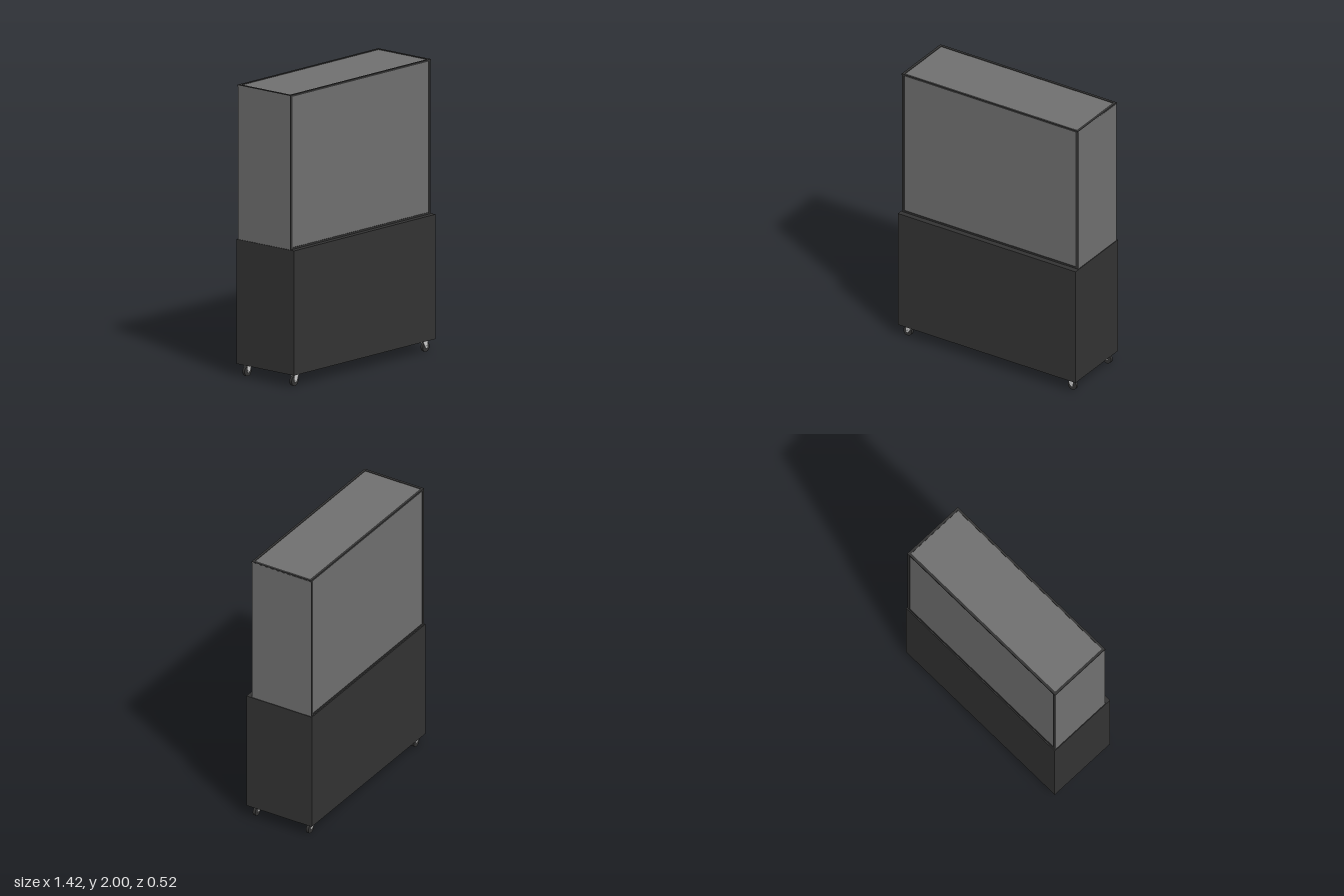
import * as THREE from 'three';

const dark = new THREE.MeshStandardMaterial({ color: 0x333333 });
const glass = new THREE.MeshStandardMaterial({ color: 0x707070 });
const metal = new THREE.MeshStandardMaterial({ color: 0xcccccc });

function add(parent, name, geometry, material, x = 0, y = 0, z = 0) {
  const mesh = new THREE.Mesh(geometry, material);
  mesh.name = name;
  mesh.position.set(x, y, z);
  parent.add(mesh);
  return mesh;
}

// Rectangular frame, w by h, with unequal borders, extruded by depth and centred
function frameGeometry(w, h, side, bottom, top, depth) {
  const shape = new THREE.Shape();
  shape.moveTo(-w / 2, -h / 2).lineTo(w / 2, -h / 2).lineTo(w / 2, h / 2).lineTo(-w / 2, h / 2).closePath();
  const hole = new THREE.Path();
  const x = w / 2 - side, y0 = -h / 2 + bottom, y1 = h / 2 - top;
  hole.moveTo(-x, y0).lineTo(-x, y1).lineTo(x, y1).lineTo(x, y0).closePath();
  shape.holes.push(hole);
  return new THREE.ExtrudeGeometry(shape, { depth, bevelEnabled: false }).translate(0, 0, -depth / 2);
}

// Swivel caster: wheel turning about z, offset outward from its fork
function caster() {
  const group = new THREE.Group();
  group.name = 'caster';
  const wheel = new THREE.CylinderGeometry(0.034, 0.034, 0.02, 24).rotateX(Math.PI / 2);
  add(group, 'wheel', wheel, dark, 0.008, 0.034, 0);
  const hub = new THREE.CylinderGeometry(0.008, 0.008, 0.03, 12).rotateX(Math.PI / 2);
  add(group, 'axle', hub, metal, 0.008, 0.034, 0);
  add(group, 'mountPlate', new THREE.BoxGeometry(0.05, 0.012, 0.034), metal, -0.005, 0.08, 0);
  const cheek = new THREE.Shape();
  cheek.moveTo(-0.03, 0.078).lineTo(-0.002, 0.03).lineTo(0.014, 0.03).lineTo(0.02, 0.078).closePath();
  const cheekGeometry = new THREE.ExtrudeGeometry(cheek, { depth: 0.003, bevelEnabled: false });
  for (const z of [-0.0145, 0.0115]) add(group, 'forkCheek', cheekGeometry, metal, 0, 0, z);
  return group;
}

export function createModel() {
  const model = new THREE.Group();
  model.name = 'displayCase';

  // Plinth cabinet
  const bottom = 0.085, deck = 0.94;
  add(model, 'baseCabinet', new THREE.BoxGeometry(1.42, deck - bottom, 0.516), dark, 0, (deck + bottom) / 2, 0);

  // Glazed upper case, set back from the front edge of the plinth
  const w = 1.41, h = 2 - deck, d = 0.47, zMid = -0.015, yMid = deck + h / 2;
  const upper = new THREE.Group();
  upper.name = 'glassCase';
  model.add(upper);

  for (const s of [-1, 1]) {
    const face = s > 0 ? 'front' : 'back';
    const zFace = zMid + s * (d / 2 - 0.008);
    add(upper, face + 'Frame', frameGeometry(w - 0.004, h, 0.018, 0.012, 0.013, 0.016), dark, 0, yMid, zFace);
    add(upper, face + 'Glass', new THREE.BoxGeometry(w - 0.03, h - 0.02, 0.008), glass, 0, yMid, zFace);
    // Side panes run edge to edge
    add(upper, s > 0 ? 'leftGlass' : 'rightGlass',
      new THREE.BoxGeometry(0.008, h - 0.004, d - 0.006), glass, s * (w / 2 - 0.004), yMid - 0.002, zMid);
  }

  // Top pane in its frame
  const topFrame = frameGeometry(w, d, 0.018, 0.016, 0.018, 0.012);
  add(upper, 'topFrame', topFrame.rotateX(-Math.PI / 2), dark, 0, 1.994, zMid);
  add(upper, 'topGlass', new THREE.BoxGeometry(w - 0.03, 0.006, d - 0.03), glass, 0, 1.993, zMid);

  // Casters, mirrored left and right
  for (const sx of [-1, 1]) {
    for (const z of [-0.21, 0.21]) {
      const c = caster();
      c.position.set(sx * 0.65, 0, z);
      if (sx < 0) c.rotation.y = Math.PI;
      model.add(c);
    }
  }
  return model;
}
